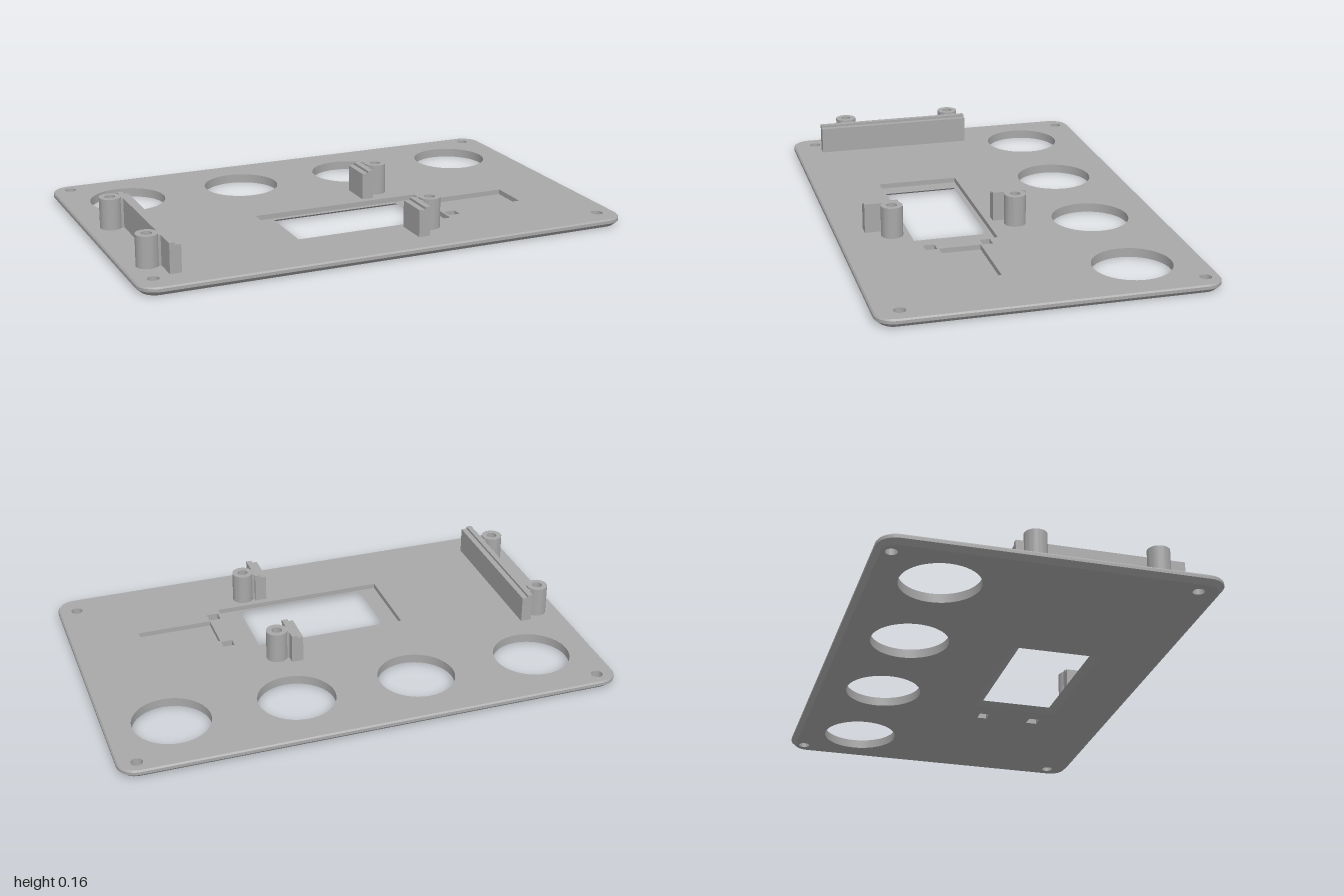
import * as THREE from 'three';
import { mergeGeometries, toCreasedNormals } from 'three/addons/utils/BufferGeometryUtils.js';

// Plan loops are counter-clockwise from above, stored as (x, -z)
function circle(x, z, r, n = 40) {
  return Array.from({ length: n }, (_, i) => {
    const a = (i / n) * Math.PI * 2;
    return new THREE.Vector2(x + r * Math.cos(a), -z + r * Math.sin(a));
  });
}

function rect(x0, x1, z0, z1) {
  return [[x0, z1], [x1, z1], [x1, z0], [x0, z0]].map(([x, z]) => new THREE.Vector2(x, -z));
}

function roundedRect(hx, hz, r, n = 8) {
  const pts = [];
  [[1, 1], [-1, 1], [-1, -1], [1, -1]].forEach(([sx, sy], k) => {
    for (let i = 0; i <= n; i++) {
      const a = (k + i / n) * Math.PI / 2;
      pts.push(new THREE.Vector2(sx * (hx - r) + r * Math.cos(a), sy * (hz - r) + r * Math.sin(a)));
    }
  });
  return pts;
}

// Flat face at height y with holes, facing up or down
function face(outline, holes, y, down = false) {
  const shape = new THREE.Shape(outline);
  shape.holes = holes.map(h => new THREE.Path(h));
  const g = new THREE.ShapeGeometry(shape).rotateX(-Math.PI / 2).translate(0, y, 0);
  if (down) g.index.array.reverse();
  const flat = g.toNonIndexed();
  flat.deleteAttribute('uv');
  flat.computeVertexNormals();
  return flat;
}

// Band joining two loops; inward = true for the side of a hole
function wall(low, y0, high, y1, inward = false) {
  const pos = [];
  const n = low.length;
  for (let i = 0; i < n; i++) {
    const j = (i + 1) % n;
    const a = [low[i].x, y0, -low[i].y], b = [low[j].x, y0, -low[j].y];
    const c = [high[j].x, y1, -high[j].y], d = [high[i].x, y1, -high[i].y];
    const quad = inward ? [a, c, b, a, d, c] : [a, b, c, a, c, d];
    quad.forEach(p => pos.push(...p));
  }
  const g = new THREE.BufferGeometry();
  g.setAttribute('position', new THREE.Float32BufferAttribute(pos, 3));
  g.computeVertexNormals();
  return toCreasedNormals(g, 0.5);
}

export function createModel() {
  const group = new THREE.Group();
  const grey = new THREE.MeshStandardMaterial({ color: 0xa8a8a8 });
  grey.name = 'grey plastic';
  const add = (name, geometry, parent = group) => {
    const m = new THREE.Mesh(geometry, grey);
    m.name = name;
    parent.add(m);
    return m;
  };

  const TOP = 0.036, LEDGE = 0.016;

  // Openings that pass straight through the plate
  const through = [];
  for (const x of [-0.743, -0.247, 0.247, 0.743]) through.push(circle(x, -0.37, 0.153, 56));
  for (const x of [-0.926, 0.926])
    for (const z of [-0.588, 0.55]) through.push(circle(x, z, 0.023, 20));
  through.push(rect(0.37, 0.417, 0.078, 0.118), rect(0.37, 0.417, 0.297, 0.342));

  // Screen window: recess on top, flared opening below
  const recess = rect(-0.34, 0.36, 0.043, 0.37);
  const windowHole = rect(-0.27, 0.268, 0.064, 0.355);
  const windowFlare = rect(-0.3, 0.298, 0.034, 0.385);
  const pocket = rect(0.417, 0.72, 0.126, 0.29);

  // Plate with chamfered rim
  const rim = inset => roundedRect(1 - inset, 0.645 - inset, 0.075 - inset);
  add('panelPlate', mergeGeometries([
    face(rim(0.02), [...through, windowFlare], 0, true),
    wall(rim(0.02), 0, rim(0), 0.018),
    wall(rim(0), 0.018, rim(0), 0.03),
    wall(rim(0), 0.03, rim(0.005), TOP),
    face(rim(0.005), [...through, recess, pocket], TOP),
    ...through.map(h => wall(h, 0, h, TOP, true)),
  ]));
  add('windowFrame', mergeGeometries([
    wall(recess, LEDGE, recess, TOP, true),
    face(recess, [windowHole], LEDGE),
    wall(windowFlare, 0, windowHole, LEDGE, true),
  ]));
  add('shallowPocket', mergeGeometries([
    wall(pocket, LEDGE, pocket, TOP, true),
    face(pocket, [], LEDGE),
  ]));

  // Hollow screw post
  const post = (x, z, parent) => {
    const outer = circle(x, z, 0.043, 32), bore = circle(x, z, 0.021, 20);
    add('screwPost', mergeGeometries([
      wall(outer, TOP, outer, 0.16),
      wall(bore, TOP, bore, 0.16, true),
      face(outer, [bore], 0.16),
    ]), parent);
  };
  const box = (name, x0, x1, y1, z0, z1, parent) => {
    const y0 = TOP - 0.004;
    add(name, new THREE.BoxGeometry(x1 - x0, y1 - y0, z1 - z0), parent)
      .position.set((x0 + x1) / 2, (y0 + y1) / 2, (z0 + z1) / 2);
  };

  // Long stepped rail on the right edge with two posts
  const longRail = new THREE.Group();
  longRail.name = 'longRail';
  group.add(longRail);
  box('railTall', -0.858, -0.836, 0.154, -0.12, 0.532, longRail);
  box('railStep', -0.836, -0.813, 0.144, -0.12, 0.532, longRail);
  for (const z of [-0.059, 0.41]) {
    post(-0.904, z, longRail);
    box('postWeb', -0.873, -0.856, 0.154, z - 0.024, z + 0.024, longRail);
  }

  // Two short stepped clips, each with a post
  for (const [z0, z1, pz] of [[-0.12, 0.016, -0.062], [0.396, 0.532, 0.433]]) {
    const clip = new THREE.Group();
    clip.name = 'shortClip';
    group.add(clip);
    box('clipTall', 0.164, 0.187, 0.154, z0, z1, clip);
    box('clipStep', 0.14, 0.164, 0.144, z0, z1, clip);
    post(0.232, pz, clip);
    box('postWeb', 0.185, 0.202, 0.154, pz - 0.024, pz + 0.024, clip);
  }
  return group;
}
